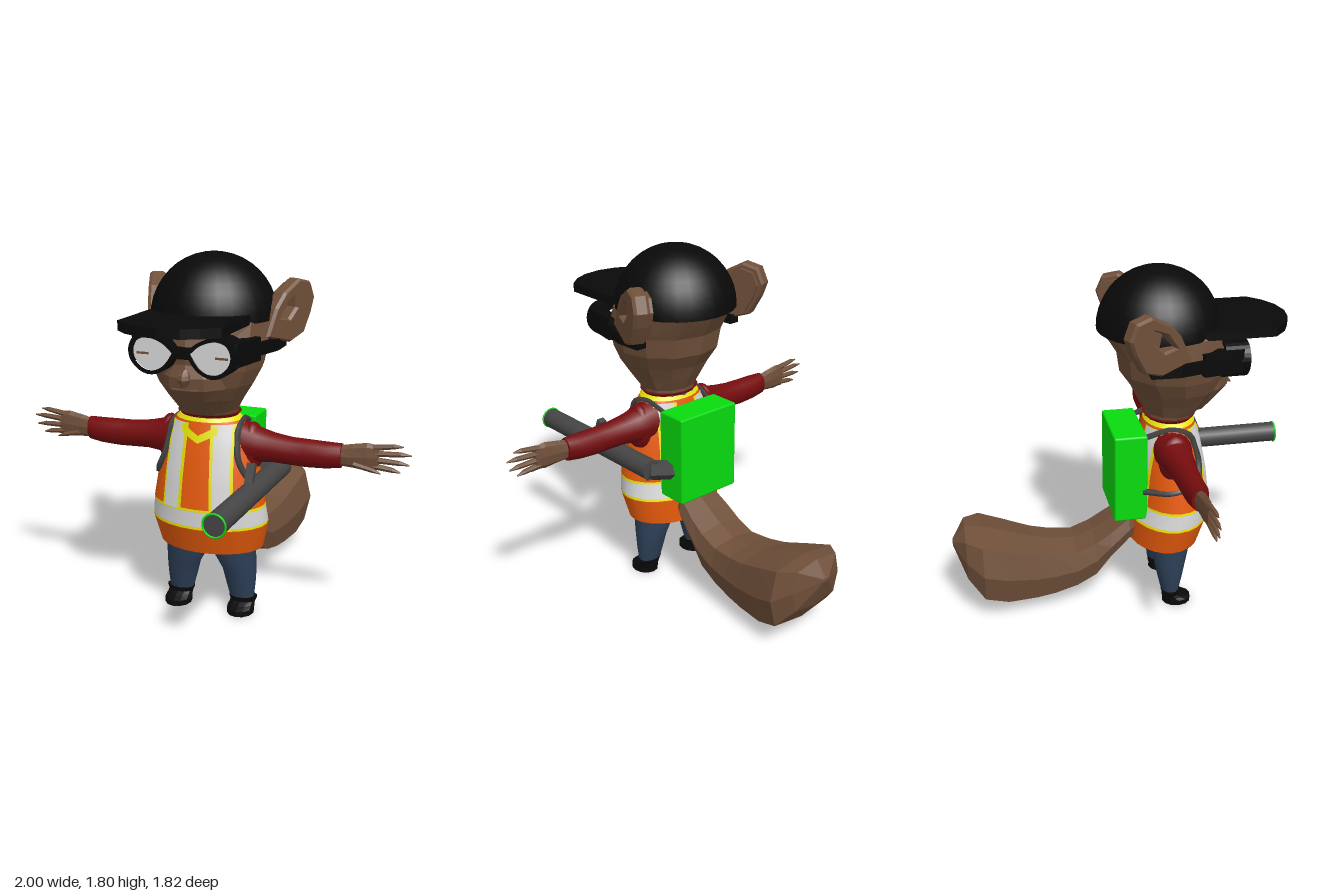
import * as THREE from 'three';
import { RoundedBoxGeometry } from 'three/addons/geometries/RoundedBoxGeometry.js';

const V = (x, y, z) => new THREE.Vector3(x, y, z);
const mat = (name, color) => { const m = new THREE.MeshStandardMaterial({ color }); m.name = name; return m; };

// Elliptical rings [pos, centreU, centreV, radiusU, radiusV] skinned along an axis:
// y uses u=x v=z, x uses u=z v=y, z uses u=y v=x. Positions ascend; power below 1 squares the ring.
function loft(rings, n, axis = 'y', power = 1) {
  const pos = [], idx = [];
  const curve = s => Math.sign(s) * Math.abs(s) ** power;
  const put = (u, p, v) => pos.push(...(axis === 'y' ? [u, p, v] : axis === 'x' ? [p, v, u] : [v, u, p]));
  const putRing = ([p, cu, cv, ru, rv]) => {
    for (let i = 0; i < n; i++) {
      const t = i / n * Math.PI * 2;
      put(cu + ru * curve(Math.sin(t)), p, cv + rv * curve(Math.cos(t)));
    }
  };
  rings.forEach((ring, k) => {
    putRing(ring);
    for (let i = 0; k && i < n; i++) {
      const j = (i + 1) % n, a = (k - 1) * n + i, b = (k - 1) * n + j, c = k * n + j, d = k * n + i;
      idx.push(a, b, c, a, c, d);
    }
  });
  // end caps with their own vertices
  [[rings[0], true], [rings[rings.length - 1], false]].forEach(([ring, low]) => {
    const base = pos.length / 3;
    put(ring[1], ring[0], ring[2]);
    putRing(ring);
    for (let i = 0; i < n; i++) {
      const a = base + 1 + i, b = base + 1 + (i + 1) % n;
      idx.push(base, low ? b : a, low ? a : b);
    }
  });
  const g = new THREE.BufferGeometry();
  g.setAttribute('position', new THREE.Float32BufferAttribute(pos, 3));
  g.setIndex(idx);
  g.computeVertexNormals();
  return g;
}

function mirrored(geo) {
  const g = geo.clone().scale(-1, 1, 1);
  const old = g.index ? Array.from(g.index.array) : Array.from({ length: g.attributes.position.count }, (_, i) => i);
  for (let i = 0; i < old.length; i += 3) [old[i], old[i + 1]] = [old[i + 1], old[i]];
  g.setIndex(old);
  return g;
}

function rod(a, b, ra, rb, sides) {
  const d = b.clone().sub(a), g = new THREE.CylinderGeometry(rb, ra, d.length(), sides);
  g.applyQuaternion(new THREE.Quaternion().setFromUnitVectors(V(0, 1, 0), d.clone().normalize()));
  return g.translate(...a.clone().add(b).multiplyScalar(0.5).toArray());
}

const box = (w, h, d, x, y, z) => new THREE.BoxGeometry(w, h, d).translate(x, y, z);
const shape = pts => new THREE.Shape(pts.map(p => new THREE.Vector2(...p)));
// Slab with an x/z outline, hanging down from a top height
const slab = (pts, thick, top) => new THREE.ExtrudeGeometry(shape(pts), { depth: thick, bevelEnabled: false })
  .rotateX(Math.PI / 2).translate(0, top, 0);

// Vest rings: y, cx, cz, rx, rz
const VEST = [[0.35, 0, 0.2, 0.27, 0.19], [0.48, 0, 0.22, 0.3, 0.21], [0.58, 0, 0.235, 0.29, 0.195], [0.75, 0, 0.23, 0.262, 0.18],
  [0.9, 0, 0.225, 0.225, 0.155], [1.0, 0, 0.225, 0.18, 0.13], [1.025, 0, 0.225, 0.15, 0.12]];
function vestAt(y) {
  let k = 0;
  while (k < VEST.length - 2 && y > VEST[k + 1][0]) k++;
  const t = (y - VEST[k][0]) / (VEST[k + 1][0] - VEST[k][0]);
  return VEST[k].map((v, i) => v + (VEST[k + 1][i] - v) * t);
}
const vestBand = (a, b) => loft([vestAt(a), ...VEST.filter(r => r[0] > a && r[0] < b), vestAt(b)], 24);

// Thin cloth patch laid on the vest; corners a b c d go round from lower left
function patch(a, b, c, d, lift, side = 1) {
  const g = new THREE.PlaneGeometry(1, 1, 4, 8), p = g.attributes.position;
  for (let i = 0; i < p.count; i++) {
    const s = p.getX(i) + 0.5, t = p.getY(i) + 0.5, mix = k => (a[k] * (1 - s) + b[k] * s) * (1 - t) + (d[k] * (1 - s) + c[k] * s) * t;
    const x = mix(0), y = mix(1), [, , cz, rx, rz] = vestAt(y);
    p.setXYZ(i, x, y, cz + side * (rz * Math.sqrt(Math.max(0, 1 - (x / rx) ** 2)) + lift));
  }
  if (side < 0) { const o = g.index.array; for (let i = 0; i < o.length; i += 3) [o[i], o[i + 1]] = [o[i + 1], o[i]]; }
  g.computeVertexNormals();
  return g;
}

export function createModel() {
  const model = new THREE.Group();
  const fur = mat('brown fur', 0x70503a), black = mat('black', 0x090909), red = mat('dark red cloth', 0x750c0e),
    orange = mat('orange cloth', 0xea5c0c), yellow = mat('yellow trim', 0xe8e60c), white = mat('pale reflective', 0xd8d8d8),
    navy = mat('navy denim', 0x2d3f57), grey = mat('grey plastic', 0x454545), green = mat('bright green', 0x08dc0e);

  function add(name, geo, m, { flat = false, pair = false } = {}) {
    const list = pair ? [[geo, 'left '], [mirrored(geo), 'right ']] : [[geo, '']];
    for (let [g, prefix] of list) {
      if (flat) { if (g.index) g = g.toNonIndexed(); g.computeVertexNormals(); }
      const mesh = new THREE.Mesh(g, m);
      mesh.name = prefix + name;
      model.add(mesh);
    }
  }
  const flatPair = { flat: true, pair: true }, pair = { pair: true }, flat = { flat: true };

  // Head with broad muzzle and small nose
  add('head', loft([[1.02, 0, 0.22, 0.14, 0.12], [1.06, 0, 0.235, 0.15, 0.135], [1.13, 0, 0.25, 0.19, 0.19], [1.2, 0, 0.255, 0.235, 0.23],
    [1.28, 0, 0.24, 0.275, 0.27], [1.38, 0, 0.24, 0.3, 0.285], [1.5, 0, 0.19, 0.295, 0.31], [1.54, 0, 0.18, 0.26, 0.25]], 12), fur, flat);
  add('muzzle', loft([[1.07, 0, 0.35, 0.09, 0.06], [1.14, 0, 0.36, 0.14, 0.115], [1.2, 0, 0.36, 0.175, 0.165],
    [1.26, 0, 0.37, 0.17, 0.165], [1.34, 0, 0.39, 0.1, 0.12]], 12), fur, flat);
  add('mouth', box(0.13, 0.005, 0.05, 0, 1.205, 0.505), fur);
  add('nose', loft([[1.22, 0, 0.53, 0.012, 0.01], [1.255, 0, 0.53, 0.035, 0.03], [1.275, 0, 0.53, 0.03, 0.025], [1.3, 0, 0.51, 0.015, 0.02]], 6), fur, flat);

  // Ears: hollowed shells turned outwards and a little forwards
  const earOutline = [[-0.18, -0.09], [-0.02, -0.13], [0.07, -0.1], [0.12, -0.01], [0.145, 0.06], [0.115, 0.13], [0.04, 0.148], [-0.06, 0.095], [-0.12, 0.03]];
  const earRim = shape(earOutline);
  earRim.holes.push(shape([[-0.11, -0.02], [-0.03, -0.035], [0.03, 0.02], [0.03, 0.1], [-0.05, 0.065]]));
  const placeEar = g => g.rotateY(1.2).translate(0.34, 1.52, 0.07);
  add('ear rim', placeEar(new THREE.ExtrudeGeometry(earRim, { depth: 0.05, bevelSize: 0.01, bevelThickness: 0.015, bevelSegments: 1 })
    .translate(0, 0, -0.02)), fur, flatPair);
  add('ear back', placeEar(new THREE.ExtrudeGeometry(shape(earOutline.map(p => [p[0] * 0.9, p[1] * 0.9])),
    { depth: 0.03, bevelEnabled: false }).translate(0, 0, -0.055)), fur, flatPair);

  // Cap
  add('cap dome', new THREE.SphereGeometry(0.307, 28, 10, 0, Math.PI * 2, 0, Math.PI / 2).translate(0, 1.497, 0.165), black);
  add('cap underside', new THREE.CircleGeometry(0.307, 28).rotateX(Math.PI / 2).translate(0, 1.497, 0.165), black);
  const half = [[0.25, 0.2], [0.25, 0.69], [0.18, 0.755], [0.1, 0.795]];
  add('cap brim', slab([...half, [0, 0.812], ...half.map(p => [-p[0], p[1]]).reverse()], 0.045, 1.54), black);

  // Goggles: teardrop rims, pale lenses, side pieces and strap wrapped round the head
  const lens = k => {
    const pts = [[-0.1, 0.012], [-0.05, 0.055], [0.02, 0.078], [0.075, 0.065], [0.1, 0.02], [0.09, -0.03], [0.045, -0.07], [-0.01, -0.075], [-0.06, -0.045]];
    return new THREE.Shape(new THREE.SplineCurve([...pts, pts[0]].map(p => new THREE.Vector2(p[0] * k, p[1] * k))).getPoints(28).slice(0, -1));
  };
  const rim = lens(1.22);
  rim.holes.push(lens(0.98));
  add('goggle rim', new THREE.ExtrudeGeometry(rim, { depth: 0.12, bevelEnabled: false }).translate(0.142, 1.37, 0.445), black, pair);
  add('goggle lens', new THREE.ShapeGeometry(lens(1.0)).translate(0.142, 1.37, 0.555), white, pair);
  add('eye mark', box(0.06, 0.01, 0.006, 0.195, 1.372, 0.556), fur, pair);
  add('goggle bridge', box(0.09, 0.05, 0.05, 0, 1.38, 0.53), black);
  add('goggle side', slab([[0.23, 0.54], [0.2, 0.36], [0.27, 0.32], [0.3, 0.33], [0.262, 0.53]], 0.11, 1.44), black, pair);
  add('goggle strap', slab([[0.26, 0.36], [0.28, 0.06], [0.335, 0.06], [0.34, 0.2], [0.295, 0.37]], 0.055, 1.41), black, pair);

  // Vest in coloured bands
  [['vest hem', 0.35, 0.485, orange], ['lower trim', 0.485, 0.498, yellow], ['reflective belt', 0.498, 0.575, white],
    ['upper trim', 0.575, 0.588, yellow], ['vest body', 0.588, 1.025, orange]].forEach(([n, a, b, m]) => add(n, vestBand(a, b), m));
  for (const s of [1, -1]) {
    add('vest stripe edge', patch([0.075, 0.585], [0.184, 0.585], [0.164, 1.0], [0.057, 1.0], 0.004, s), yellow, pair);
    add('vest stripe', patch([0.09, 0.585], [0.172, 0.585], [0.152, 1.0], [0.074, 1.0], 0.008, s), white, pair);
  }
  add('neckline trim', patch([0, 0.91], [0.09, 0.955], [0.095, 1.0], [0, 0.947], 0.0095), yellow, pair);
  add('neck trim', loft([[1.01, 0, 0.225, 0.168, 0.132], [1.028, 0, 0.225, 0.152, 0.122]], 24), yellow);
  add('collar', loft([[1.01, 0, 0.225, 0.145, 0.118], [1.03, 0, 0.225, 0.145, 0.12], [1.045, 0, 0.225, 0.16, 0.135]], 24), red);

  // Arms, hands and fingers
  add('armhole', new THREE.SphereGeometry(1, 16, 12).scale(0.055, 0.125, 0.085).translate(0.22, 0.872, 0.21), red, pair);
  add('sleeve', loft([[0.13, 0.21, 0.89, 0.1, 0.12], [0.2, 0.21, 0.893, 0.095, 0.1], [0.26, 0.212, 0.885, 0.082, 0.085], [0.33, 0.217, 0.882, 0.072, 0.072],
    [0.42, 0.22, 0.875, 0.062, 0.068], [0.5, 0.22, 0.873, 0.058, 0.069], [0.6, 0.222, 0.875, 0.058, 0.065], [0.67, 0.22, 0.88, 0.042, 0.06]], 16, 'x'), red, pair);
  add('hand', loft([[0.66, 0.22, 0.88, 0.03, 0.05], [0.72, 0.22, 0.885, 0.026, 0.058], [0.79, 0.22, 0.888, 0.022, 0.068],
    [0.845, 0.22, 0.89, 0.014, 0.06]], 8, 'x'), fur, flatPair);
  [[0.82, 0.935, 0.96, 0.953], [0.83, 0.907, 1.0, 0.915], [0.83, 0.876, 0.99, 0.868], [0.82, 0.846, 0.95, 0.828], [0.73, 0.85, 0.86, 0.817]]
    .forEach(([x, y, tx, ty], i) => {
      const z = i === 4 ? 0.235 : 0.22, knuckle = V(x + (tx - x) * 0.7, y + (ty - y) * 0.7 + 0.003, z);
      add('finger', rod(V(x, y, z), knuckle, 0.015, 0.012, 6), fur, flatPair);
      add('fingertip', rod(knuckle, V(tx, ty, z), 0.012, 0.003, 6), fur, flatPair);
    });

  // Hips, legs and shoes
  add('hips', loft([[0.335, 0, 0.21, 0.225, 0.115], [0.349, 0, 0.205, 0.25, 0.16], [0.4, 0, 0.21, 0.25, 0.16]], 20), navy);
  add('trouser leg', loft([[0.065, 0.167, 0.21, 0.062, 0.045], [0.15, 0.16, 0.21, 0.077, 0.065], [0.22, 0.153, 0.21, 0.087, 0.08],
    [0.3, 0.13, 0.215, 0.108, 0.097], [0.4, 0.12, 0.22, 0.12, 0.1]], 16), navy, pair);
  add('shoe', loft([[0, 0.172, 0.245, 0.068, 0.077], [0.028, 0.172, 0.245, 0.07, 0.075], [0.042, 0.172, 0.225, 0.066, 0.06],
    [0.055, 0.172, 0.212, 0.066, 0.046], [0.078, 0.172, 0.21, 0.076, 0.05]], 12), black, flatPair);

  // Broad, square-sided drooping tail
  add('tail', loft([[-0.915, 0.39, 0, 0.01, 0.02], [-0.85, 0.345, 0, 0.128, 0.16], [-0.77, 0.29, 0, 0.18, 0.225], [-0.65, 0.25, 0, 0.18, 0.21],
    [-0.5, 0.222, 0, 0.153, 0.185], [-0.4, 0.217, 0, 0.138, 0.17], [-0.28, 0.228, 0, 0.118, 0.157], [-0.18, 0.275, 0, 0.11, 0.155],
    [-0.1, 0.35, 0, 0.082, 0.15], [0, 0.43, 0, 0.07, 0.13], [0.05, 0.45, 0, 0.06, 0.1]], 8, 'z', 0.5), fur, flat);

  // Backpack and straps
  add('backpack', new RoundedBoxGeometry(0.37, 0.47, 0.17, 1, 0.01).translate(0, 0.755, -0.005), green);
  const strap = new THREE.CatmullRomCurve3([V(0.15, 0.97, 0.08), V(0.165, 1.005, 0.2), V(0.175, 0.975, 0.295), V(0.178, 0.92, 0.318),
    V(0.195, 0.83, 0.34), V(0.24, 0.74, 0.318), V(0.262, 0.7, 0.2), V(0.18, 0.68, 0.06)]);
  add('shoulder strap', new THREE.TubeGeometry(strap, 28, 0.016, 4), grey, pair);

  // Blower tube with handle, nozzle ring and elbow into the backpack
  add('blower tube', rod(V(0.3, 0.722, 0.01), V(0.3, 0.722, 0.905), 0.054, 0.054, 20), grey);
  add('nozzle ring', new THREE.TorusGeometry(0.054, 0.005, 6, 20).translate(0.3, 0.722, 0.905), green);
  add('blower elbow', rod(V(0.31, 0.715, 0.04), V(0.16, 0.68, 0.01), 0.052, 0.05, 6), grey, flat);
  add('blower handle', new THREE.BoxGeometry(0.04, 0.12, 0.03).rotateX(-0.4).translate(0.295, 0.805, 0.45), grey);

  return model;
}
